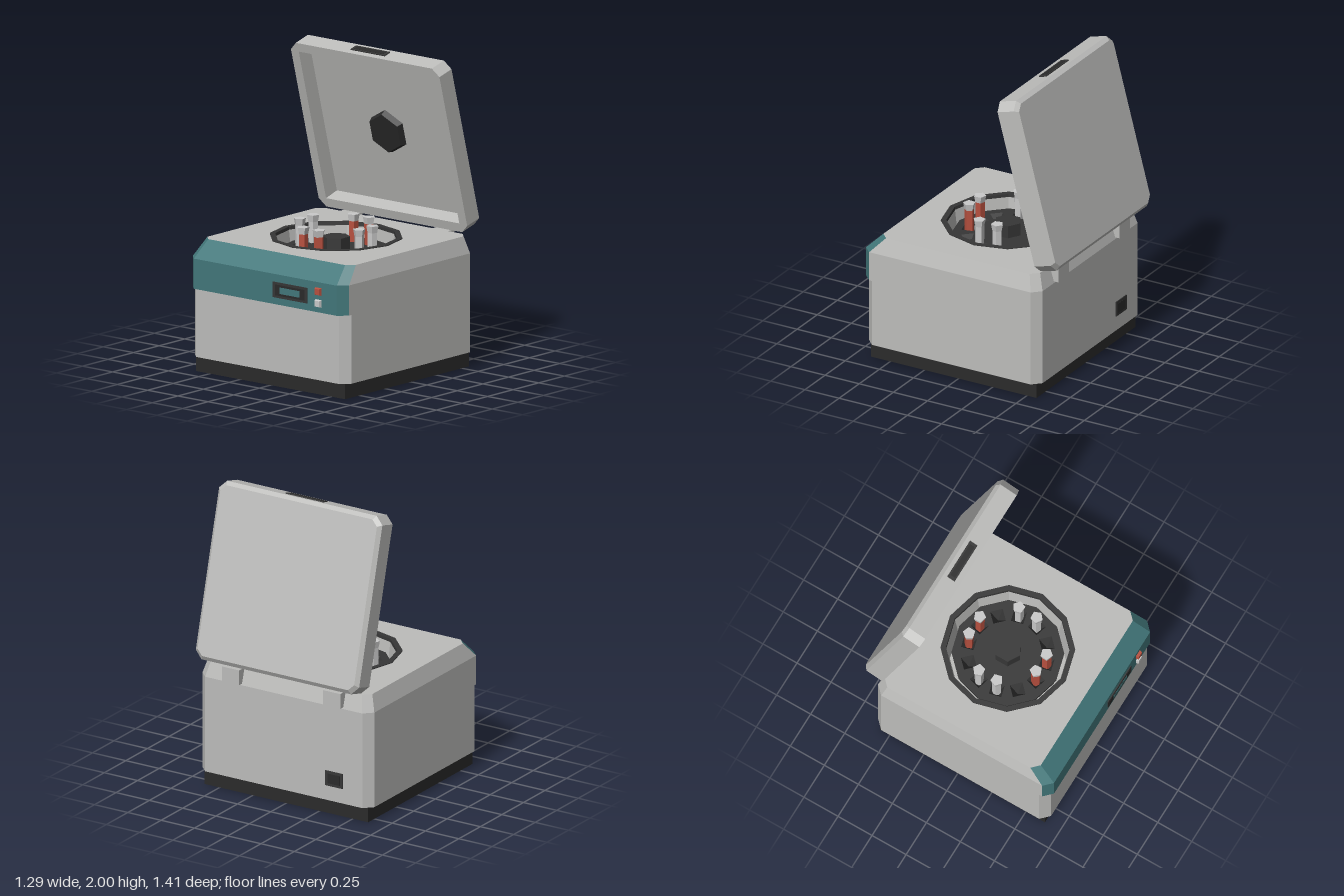
import * as THREE from 'three';

const mat = (name, color) => Object.assign(new THREE.MeshStandardMaterial({ color }), { name });

export function createModel() {
  const model = new THREE.Group();
  model.name = 'benchCentrifuge';
  const casing = mat('casingGrey', 0xbcbcba);
  const teal = mat('panelTeal', 0x42777a);
  const dark = mat('charcoal', 0x363636);
  const black = mat('nearBlack', 0x2a2a2a);
  const red = mat('red', 0xb8503f);
  const pale = mat('paleGrey', 0xcacaca);

  // Faceted mesh helper
  const add = (name, geo, material, parent = model) => {
    const g = geo.index ? geo.toNonIndexed() : geo;
    g.computeVertexNormals();
    const mesh = new THREE.Mesh(g, material);
    mesh.name = name;
    parent.add(mesh);
    return mesh;
  };
  const box = (name, w, h, d, x, y, z, material, parent) =>
    add(name, new THREE.BoxGeometry(w, h, d).translate(x, y, z), material, parent);

  // Rectangle with cut corners at height y, starting at the front edge
  const ring = (y, x, z0, z1, c) => [
    [-x + c, z1], [x - c, z1], [x, z1 - c], [x, z0 + c],
    [x - c, z0], [-x + c, z0], [-x, z0 + c], [-x, z1 - c],
  ].map(([px, pz]) => [px, y, pz]);

  // Joins rings into flat sides; only the listed sides are made
  const loft = (rings, sides = [0, 1, 2, 3, 4, 5, 6, 7]) => {
    const pos = [];
    for (let r = 0; r + 1 < rings.length; r++) {
      for (const i of sides) {
        const j = (i + 1) % 8;
        const [a, b, c, d] = [rings[r][i], rings[r][j], rings[r + 1][j], rings[r + 1][i]];
        pos.push(...a, ...b, ...c, ...a, ...c, ...d);
      }
    }
    const g = new THREE.BufferGeometry();
    g.setAttribute('position', new THREE.Float32BufferAttribute(pos, 3));
    return g;
  };

  // Flat horizontal face, with holes, facing up or down
  const cap = (pts, y, up = true, holes = []) => {
    const s = up ? -1 : 1;
    const flat = (list) => list.map(([x, , z]) => new THREE.Vector2(x, s * z));
    const shape = new THREE.Shape(flat(pts));
    holes.forEach((h) => shape.holes.push(new THREE.Path(flat(h))));
    return new THREE.ShapeGeometry(shape).rotateX(s * Math.PI / 2).translate(0, y, 0);
  };
  const polygon = (n, r, start = 0, cx = 0, cz = 0) => Array.from({ length: n }, (_, i) => {
    const a = start + (i / n) * Math.PI * 2;
    return [cx + r * Math.sin(a), 0, cz + r * Math.cos(a)];
  });
  const lathe = (pts, n) =>
    new THREE.LatheGeometry(pts.map(([r, y]) => new THREE.Vector2(r, y)), n);

  // Base and body
  box('base', 1.23, 0.1, 1.21, 0, 0.05, 0.035, black);
  const low = ring(0.1, 0.645, -0.6, 0.67, 0.055);
  const step = ring(0.545, 0.645, -0.6, 0.67, 0.055);
  const lip = ring(0.545, 0.645, -0.6, 0.692, 0.055);
  const shoulder = ring(0.74, 0.645, -0.6, 0.692, 0.055);
  const top = ring(0.85, 0.613, -0.567, 0.58, 0.048);
  add('lowerBody', loft([low, step]), casing);
  add('upperBody', loft([step, lip, shoulder, top], [2, 3, 4, 5, 6]), casing);
  add('frontPanel', loft([step, lip, shoulder, top], [0, 1, 7]), teal);
  add('bodyUnderside', cap(low, 0.1, false), casing);
  add('bodyTop', cap(top, 0.85, true, [polygon(12, 0.4)]), casing);

  // Rotor chamber
  add('chamberSeal', lathe([[0.425, 0.85], [0.425, 0.855], [0.39, 0.855], [0.388, 0.835]], 12), dark);
  add('chamberBowl', lathe([[0.391, 0.85], [0.366, 0.65], [0, 0.65]], 12), casing);

  // Rotor with twelve pockets, eight of them holding tubes
  const rotor = new THREE.Group();
  rotor.name = 'rotor';
  model.add(rotor);
  const rotorY = 0.77, slotR = 0.254, pitR = 0.058;
  const angles = Array.from({ length: 12 }, (_, k) => (15 + 30 * k) * Math.PI / 180);
  const holes = angles.map((a) =>
    polygon(4, pitR, a + Math.PI / 4, slotR * Math.sin(a), slotR * Math.cos(a)));
  add('rotorTop', cap(polygon(12, 0.356), rotorY, true, holes), dark, rotor);
  add('rotorSide', lathe([[0.33, 0.655], [0.356, rotorY]], 12), dark, rotor);
  add('rotorHub', new THREE.CylinderGeometry(0.09, 0.09, 0.083, 6).translate(0, 0.8115, 0), dark, rotor);
  angles.forEach((a, k) => {
    const slot = new THREE.Group();
    slot.name = 'slot' + (k + 1);
    slot.position.set(slotR * Math.sin(a), 0, slotR * Math.cos(a));
    slot.rotation.y = a;
    rotor.add(slot);
    add('pocket', lathe([[pitR, rotorY], [0, 0.69]], 4).rotateY(Math.PI / 4), dark, slot);
    if (k % 3 === 1) return;
    const filled = Math.abs(Math.cos(a)) > 0.9;
    add('tube', new THREE.CylinderGeometry(0.032, 0.03, 0.2, 5).translate(0, 0.8, 0), filled ? red : pale, slot);
    add('tubeCap', new THREE.CylinderGeometry(0.041, 0.032, 0.044, 5).translate(0, 0.922, 0), pale, slot);
  });

  // Lid, modelled closed and swung open about its rear edge
  const lid = new THREE.Group();
  lid.name = 'lid';
  lid.position.set(0, 0.86, -0.568);
  lid.rotation.x = THREE.MathUtils.degToRad(-75);
  model.add(lid);
  const lidFloor = ring(0.1, 0.54, 0.07, 1.08, 0);
  const lidBack = ring(0.145, 0.588, 0.025, 1.125, 0.04);
  add('lidShell', loft([
    lidFloor, ring(0, 0.55, 0.06, 1.09, 0),
    ring(0, 0.613, 0, 1.15, 0.052), ring(0.122, 0.613, 0, 1.15, 0.052), lidBack,
  ]), casing, lid);
  add('lidInnerFace', cap(lidFloor, 0.1, false), casing, lid);
  add('lidOuterFace', cap(lidBack, 0.145), casing, lid);
  add('lidBoss', new THREE.CylinderGeometry(0.148, 0.132, 0.04, 6).translate(0, 0.08, 0.575), black, lid);
  box('lidLatch', 0.28, 0.056, 0.008, 0, 0.067, 1.152, dark, lid);
  box('lidLatchSlot', 0.24, 0.034, 0.006, 0, 0.067, 1.1545, black, lid);

  // Hinges and rear power socket
  for (const side of [-1, 1]) {
    box(side > 0 ? 'leftHinge' : 'rightHinge', 0.13, 0.1, 0.08, side * 0.38, 0.8, -0.59, casing);
  }
  box('socketFrame', 0.13, 0.1, 0.008, -0.38, 0.25, -0.602, dark);
  box('socketInset', 0.09, 0.065, 0.006, -0.38, 0.25, -0.605, black);

  // Display and buttons
  box('displayFrame', 0.285, 0.1, 0.008, 0.208, 0.64, 0.694, dark);
  box('displayInset', 0.245, 0.07, 0.005, 0.208, 0.64, 0.697, black);
  box('displayScreen', 0.165, 0.042, 0.004, 0.208, 0.64, 0.699, teal);
  const button = (name, y, material) => add(name,
    new THREE.CylinderGeometry(0.027, 0.036, 0.02, 4).rotateY(Math.PI / 4).rotateX(Math.PI / 2)
      .translate(0.44, y, 0.7), material);
  button('stopButton', 0.68, red);
  button('startButton', 0.603, pale);

  return model;
}
